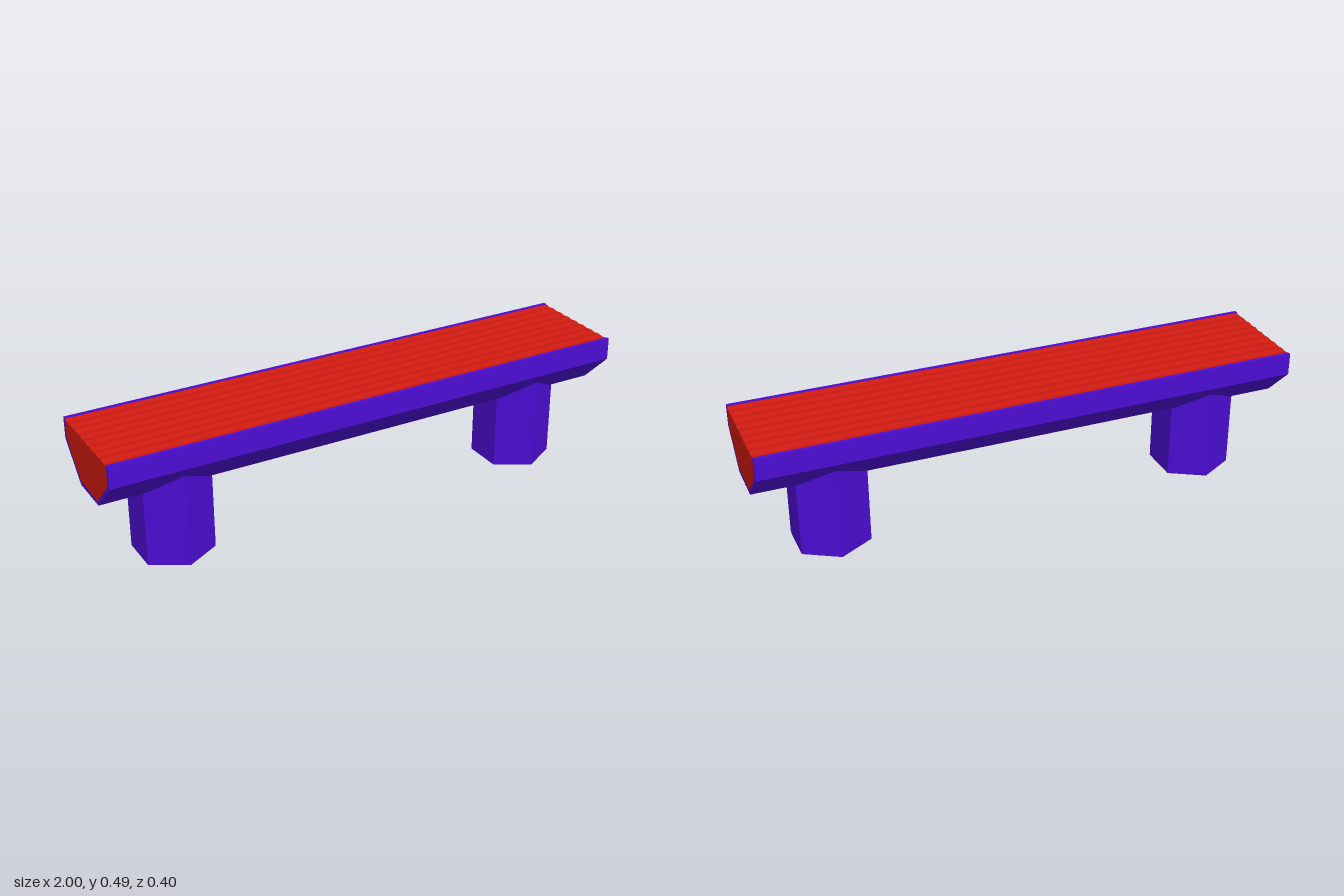
import * as THREE from 'three';

const blue = new THREE.MeshStandardMaterial({ color: 0x4b0dd2, flatShading: true });
const red = new THREE.MeshStandardMaterial({ color: 0xcf1a10, flatShading: true });

const extrude = (shape, depth) =>
  new THREE.ExtrudeGeometry(shape, { depth, bevelEnabled: false });

// Rippled line from u = -half to u = half, dipping below y
function ripple(half, y, depth, waves = 8, steps = 4) {
  const pts = [];
  for (let i = 0; i <= waves * steps; i++) {
    const t = i / (waves * steps);
    const dip = depth * (1 - Math.cos(t * waves * Math.PI * 2)) / 2;
    pts.push(new THREE.Vector2(-half + 2 * half * t, y - dip));
  }
  return pts;
}

// Profile extruded along the length of the bench
function beam(points, material, name) {
  const geo = extrude(new THREE.Shape(points), 2);
  geo.translate(0, 0, -1).rotateY(Math.PI / 2);
  const mesh = new THREE.Mesh(geo, material);
  mesh.name = name;
  return mesh;
}

// Hexagon, stretched along z, for the leg cross-section
const hexagon = (s) => [
  [0.127, 0.075], [0, 0.147], [-0.127, 0.075],
  [-0.127, -0.075], [0, -0.147], [0.127, -0.075],
].map(([x, z]) => new THREE.Vector2(x * s, z * s));

function makeLeg(x, side) {
  const leg = new THREE.Group();
  leg.name = side + 'Leg';
  const shellShape = new THREE.Shape(hexagon(1));
  shellShape.holes.push(new THREE.Path(hexagon(0.89)));
  const parts = [
    ['legShell', shellShape, blue],
    ['legCore', new THREE.Shape(hexagon(0.89)), red],
  ];
  for (const [name, shape, material] of parts) {
    // The top end is buried in the seat trough
    const mesh = new THREE.Mesh(extrude(shape, 0.358).rotateX(-Math.PI / 2), material);
    mesh.name = name;
    leg.add(mesh);
  }
  leg.position.x = x;
  return leg;
}

export function createModel() {
  const model = new THREE.Group();
  model.name = 'bench';
  const v = (x, y) => new THREE.Vector2(x, y);

  const innerBottom = ripple(0.079, 0.3, 0.003);
  const outerBottom = ripple(0.082, 0.286, 0.003);
  const innerSide = [v(0.188, 0.41), v(0.188, 0.485)];

  // Trough: thin wall around the filled seat
  model.add(beam([
    v(-0.202, 0.488), v(-0.202, 0.405), ...outerBottom,
    v(0.202, 0.405), v(0.202, 0.488), v(0.188, 0.488), v(0.188, 0.41),
    ...innerBottom.slice().reverse(), v(-0.188, 0.41), v(-0.188, 0.488),
  ], blue, 'trough'));

  // Seat: solid filling with a rippled top
  model.add(beam([
    v(-0.188, 0.41), ...innerBottom, innerSide[0],
    ...ripple(0.188, 0.486, 0.004).reverse(),
  ], red, 'seat'));

  model.add(makeLeg(0.716, 'left'), makeLeg(-0.716, 'right'));
  return model;
}
